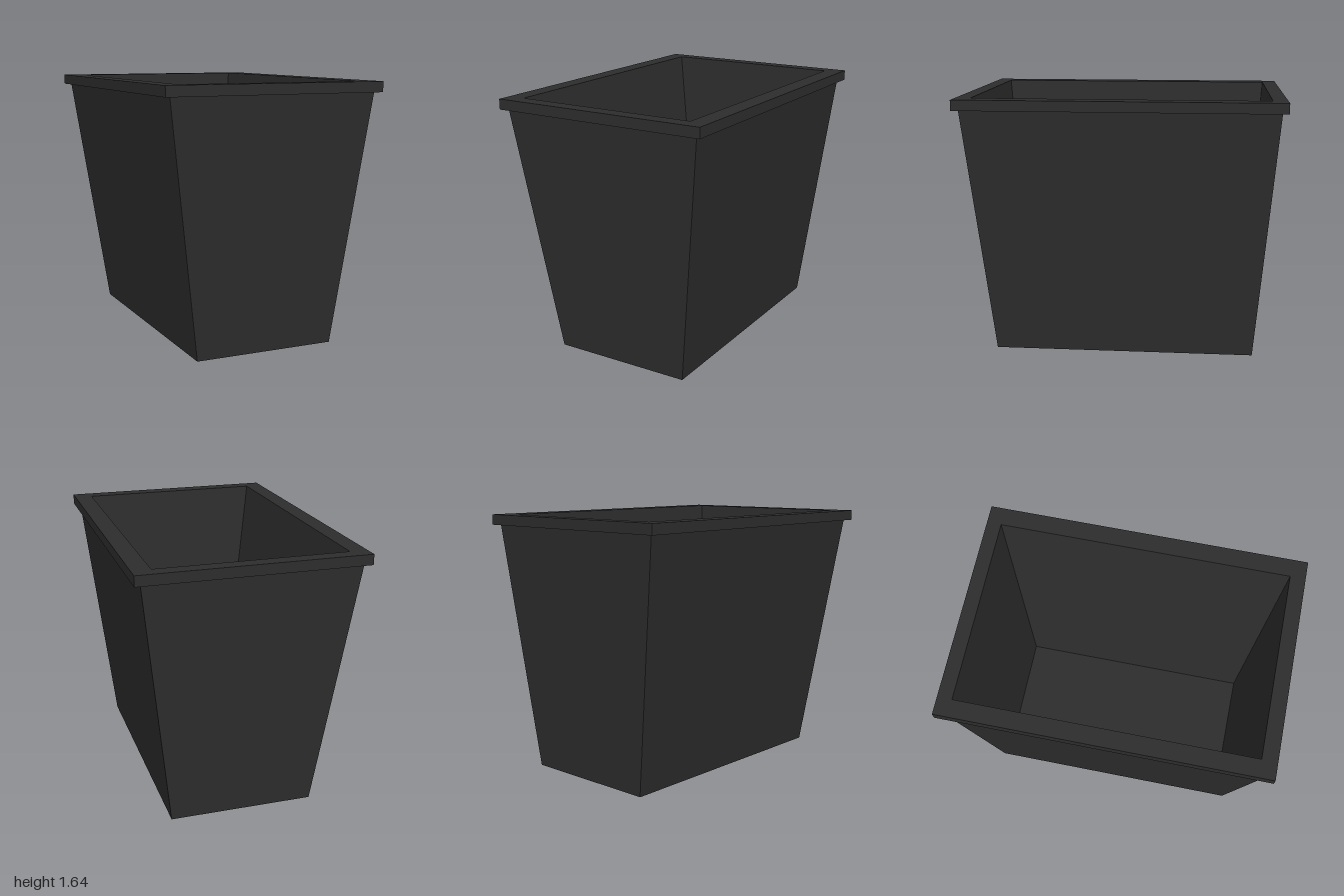
import * as THREE from 'three';

// Rectangular ring of corners at height y, counterclockwise from above
const ring = (y, x0, x1, z0, z1) => [[x0, y, z1], [x1, y, z1], [x1, y, z0], [x0, y, z0]];

// Flat-sided skin through successive rings, with optional end caps
function loft(rings, { capStart = false, capEnd = false } = {}) {
  const pos = [];
  const quad = (a, b, c, d) => pos.push(...a, ...b, ...c, ...a, ...c, ...d);
  for (let r = 0; r < rings.length - 1; r++) {
    const a = rings[r], b = rings[r + 1];
    for (let i = 0; i < 4; i++) {
      const j = (i + 1) % 4;
      quad(a[i], a[j], b[j], b[i]);
    }
  }
  if (capStart) quad(...[...rings[0]].reverse());
  if (capEnd) quad(...rings[rings.length - 1]);
  const g = new THREE.BufferGeometry();
  g.setAttribute('position', new THREE.Float32BufferAttribute(pos, 3));
  g.computeVertexNormals();
  return g;
}

export function createModel() {
  const group = new THREE.Group();
  group.name = 'planter';
  const material = new THREE.MeshStandardMaterial({ color: 0x2d2d2d });
  const add = (name, geometry) => {
    const mesh = new THREE.Mesh(geometry, material);
    mesh.name = name;
    group.add(mesh);
  };

  const height = 1.645, rimBase = 1.58, floorY = 0.1;
  const foot = ring(0, -0.435, 0.475, -0.84, 0.815);
  const bodyTop = ring(rimBase, -0.66, 0.66, -0.965, 0.965);
  const opening = ring(height, -0.59, 0.585, -0.91, 0.905);
  const floor = ring(floorY, -0.38, 0.42, -0.79, 0.755);

  // Tapered outer walls and underside
  add('outerWalls', loft([foot, bodyTop], { capStart: true }));

  // Overhanging lip: underside, edge and top
  add('rim', loft([
    bodyTop,
    ring(rimBase, -0.7, 0.7, -1, 1),
    ring(height, -0.7, 0.7, -1, 1),
    opening,
  ]));

  // Hollow interior down to the floor
  add('innerWallsAndFloor', loft([opening, floor], { capEnd: true }));

  return group;
}
